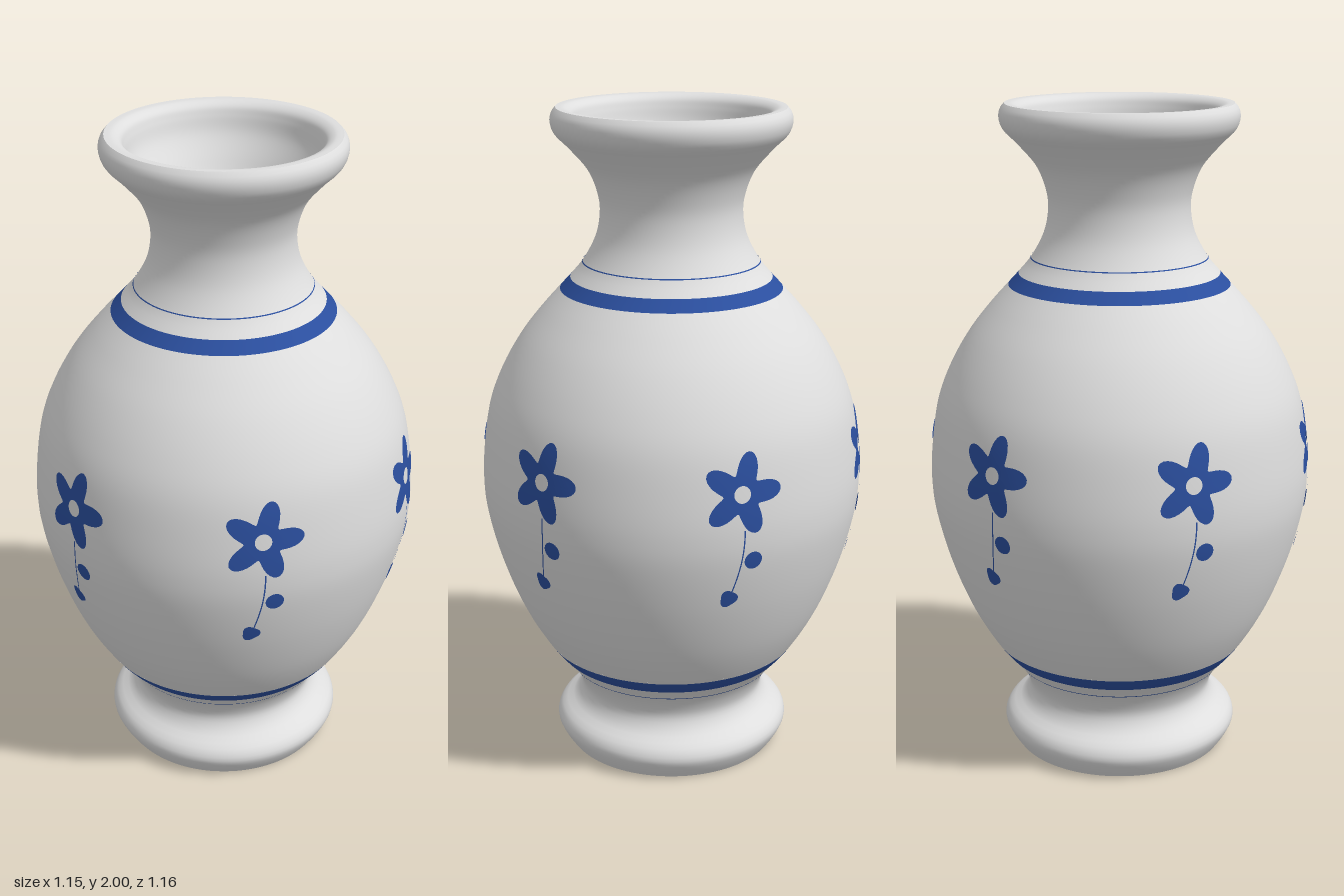
import * as THREE from 'three';

// Outer silhouette (radius, height), from foot to lip
const outline = new THREE.SplineCurve([
  [0.33, 0], [0.353, 0.035], [0.366, 0.07], [0.35, 0.105], [0.308, 0.135], [0.287, 0.175],
  [0.295, 0.215], [0.325, 0.265], [0.392, 0.345], [0.465, 0.47], [0.525, 0.62], [0.565, 0.77],
  [0.577, 0.88], [0.57, 1.0], [0.55, 1.12], [0.512, 1.22], [0.455, 1.32], [0.385, 1.41],
  [0.303, 1.5], [0.262, 1.55], [0.225, 1.62], [0.211, 1.69], [0.217, 1.75], [0.245, 1.82],
  [0.3, 1.885], [0.34, 1.925], [0.352, 1.96], [0.347, 1.985], [0.335, 2],
].map(([r, y]) => new THREE.Vector2(r, y))).getPoints(600);

function radiusAt(y) {
  for (let i = 1; i < outline.length; i++) {
    const a = outline[i - 1], b = outline[i];
    if (y <= b.y) return THREE.MathUtils.mapLinear(y, a.y, b.y, a.x, b.x);
  }
  return outline[outline.length - 1].x;
}

// Wraps a flat decal point (u across, v height) onto the wall
function onWall(u, v) {
  const r = radiusAt(v) + 0.003, a = u / 0.575;
  return [r * Math.sin(a), v, r * Math.cos(a)];
}

// Grid of points wrapped onto the wall; point(s, t) returns [u, v]
function decal(point, cols, rows) {
  const pos = [], idx = [];
  for (let j = 0; j <= rows; j++) {
    for (let i = 0; i <= cols; i++) pos.push(...onWall(...point(i / cols, j / rows)));
  }
  for (let j = 0; j < rows; j++) {
    for (let i = 0; i < cols; i++) {
      const a = j * (cols + 1) + i, b = a + cols + 1;
      idx.push(a, b, a + 1, a + 1, b, b + 1);
    }
  }
  const g = new THREE.BufferGeometry();
  g.setAttribute('position', new THREE.Float32BufferAttribute(pos, 3));
  g.setIndex(idx);
  g.computeVertexNormals();
  return g;
}

// Ring-shaped or round decal with an outline given by angle
function roundDecal(cu, cv, inner, outer) {
  return decal((s, t) => {
    const a = s * Math.PI * 2;
    const r = THREE.MathUtils.lerp(inner, outer(a), t);
    return [cu + r * Math.cos(a), cv + r * Math.sin(a)];
  }, 80, 4);
}

export function createModel() {
  const vase = new THREE.Group();
  vase.name = 'vase';
  const porcelain = new THREE.MeshStandardMaterial({ color: 0xdedede, side: THREE.DoubleSide });
  porcelain.name = 'white porcelain';
  const blue = new THREE.MeshStandardMaterial({ color: 0x2b4f9f, side: THREE.DoubleSide });
  blue.name = 'cobalt blue';

  const add = (parent, name, geometry, material) => {
    const mesh = new THREE.Mesh(geometry, material);
    mesh.name = name;
    parent.add(mesh);
    return mesh;
  };

  // Outer wall in stacked sections, with the painted bands between them
  const section = (y0, y1) => {
    const n = Math.max(2, Math.ceil((y1 - y0) / 0.012));
    const pts = [];
    for (let i = 0; i <= n; i++) {
      const y = y0 + (y1 - y0) * i / n;
      pts.push(new THREE.Vector2(radiusAt(y), y));
    }
    return new THREE.LatheGeometry(pts, 96);
  };
  add(vase, 'foot', section(0, 0.302), porcelain);
  add(vase, 'lowerBand', section(0.302, 0.347), blue);
  add(vase, 'belly', section(0.347, 1.468), porcelain);
  add(vase, 'upperBand', section(1.468, 1.502), blue);
  add(vase, 'neck', section(1.502, 2), porcelain);

  // Hairlines beside the bands
  for (const [name, y] of [['lowerHairline', 0.264], ['upperHairline', 1.549]]) {
    const pts = [y - 0.0015, y + 0.0015].map(h => new THREE.Vector2(radiusAt(h) + 0.002, h));
    add(vase, name, new THREE.LatheGeometry(pts, 96), blue);
  }

  // Rim rolling over into the mouth, then the hollow inside and its floor
  const inside = new THREE.SplineCurve([
    [0.335, 2], [0.31, 1.998], [0.289, 1.985], [0.278, 1.96], [0.262, 1.91], [0.22, 1.84],
    [0.184, 1.77], [0.172, 1.7], [0.185, 1.62], [0.26, 1.5], [0.41, 1.32], [0.505, 1.14],
    [0.535, 0.9], [0.485, 0.62], [0.37, 0.42], [0.3, 0.39], [0, 0.37],
  ].map(([r, y]) => new THREE.Vector2(Math.max(r, 0), y))).getPoints(120);
  inside[inside.length - 1].x = 0;
  add(vase, 'rimAndInside', new THREE.LatheGeometry(inside, 96), porcelain);

  // Underside of the floor, seen through the open foot
  const underside = new THREE.CircleGeometry(radiusAt(0.352), 96);
  underside.rotateX(Math.PI / 2);
  add(vase, 'underside', underside, porcelain).position.y = 0.352;

  // Six painted flowers, each with a thin stem and two dots
  const petals = roundDecal(0, 1.005, 0.025,
    a => 0.056 + 0.066 * Math.pow(0.5 + 0.5 * Math.cos(5 * (a - 0.05)), 0.85));
  const dots = [
    roundDecal(0.035, 0.805, 0, () => 0.027),
    roundDecal(-0.03, 0.685, 0, a => 0.027 + 0.003 * Math.cos(3 * a)),
  ];
  const stem = decal((s, t) => [
    0.006 - 0.03 * t * t + (s - 0.5) * 0.004, 0.9 - 0.2 * t,
  ], 1, 16);
  for (let k = 0; k < 6; k++) {
    const flower = new THREE.Group();
    flower.name = 'flower' + (k + 1);
    add(flower, 'petals', petals, blue);
    add(flower, 'stem', stem, blue);
    dots.forEach((d, i) => add(flower, 'dot' + (i + 1), d, blue));
    flower.rotation.y = k * Math.PI / 3;
    vase.add(flower);
  }
  return vase;
}
